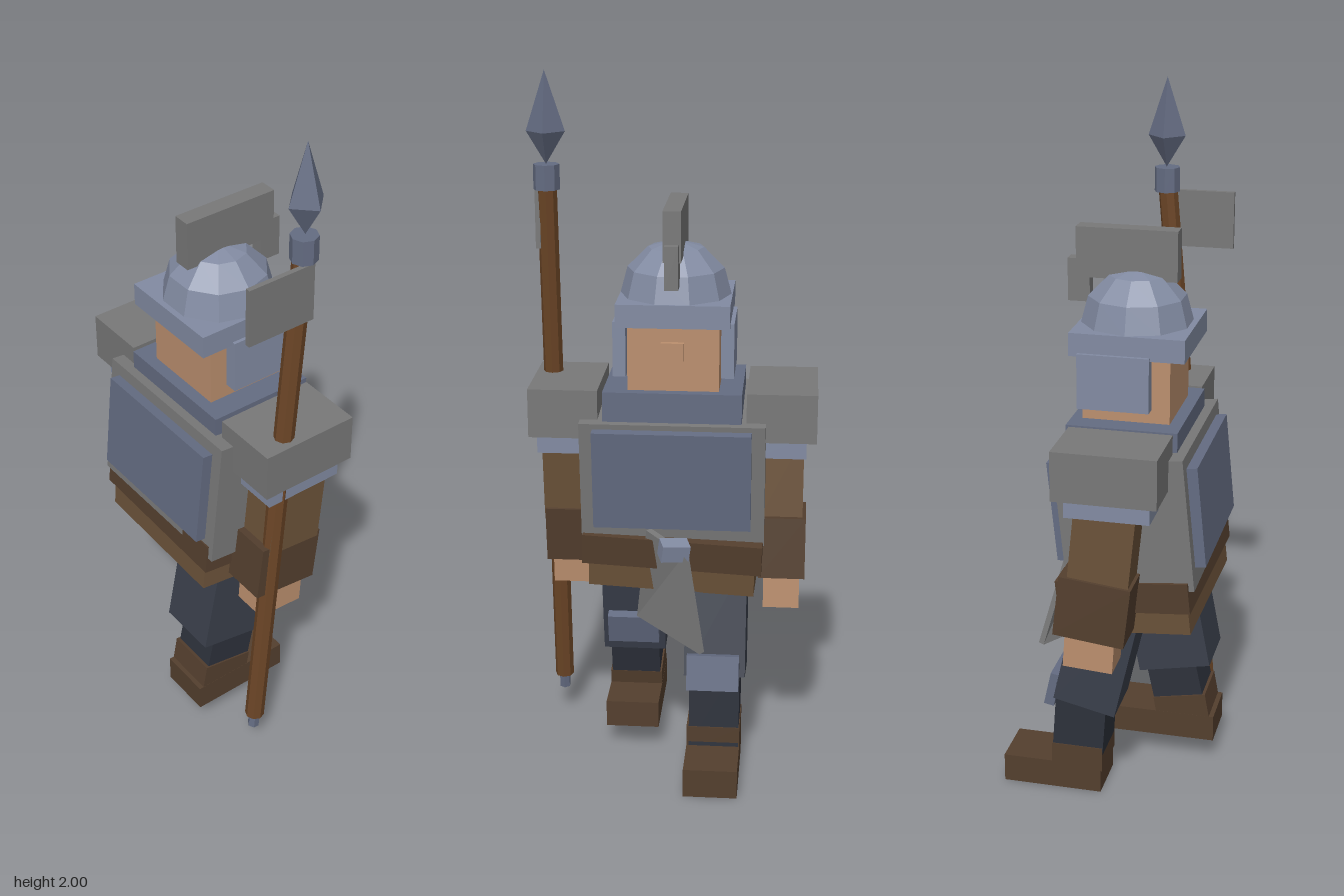
import * as THREE from 'three';

const STEEL = 0x828ba2, DARK_STEEL = 0x646c82, GREY = 0x787878, SKIN = 0xbb8f6e;
const BROWN = 0x6b5239, DARK_BROWN = 0x543f2e, CLOTH = 0x3a3f4b, DARK_CLOTH = 0x2d313b, WOOD = 0x6b4526;

const materials = new Map();
function mat(color) {
  if (!materials.has(color)) {
    materials.set(color, new THREE.MeshStandardMaterial({ color, flatShading: true }));
  }
  return materials.get(color);
}

function add(parent, name, geometry, color, x, y, z) {
  const mesh = new THREE.Mesh(geometry, mat(color));
  mesh.name = name;
  mesh.position.set(x, y, z);
  parent.add(mesh);
  return mesh;
}

// Box given by its lower and upper limits
function box(parent, name, color, [x0, x1], [y0, y1], [z0, z1]) {
  return add(parent, name, new THREE.BoxGeometry(x1 - x0, y1 - y0, z1 - z0), color,
    (x0 + x1) / 2, (y0 + y1) / 2, (z0 + z1) / 2);
}

// Box running between two [y, z] points, tilted about x
function limb(parent, name, color, x, width, depth, [y0, z0], [y1, z1]) {
  const length = Math.hypot(y1 - y0, z1 - z0);
  const mesh = add(parent, name, new THREE.BoxGeometry(width, length, depth), color, x, (y0 + y1) / 2, (z0 + z1) / 2);
  mesh.rotation.x = Math.atan2(z0 - z1, y0 - y1);
  return mesh;
}

function group(parent, name) {
  const g = new THREE.Group();
  g.name = name;
  parent.add(g);
  return g;
}

function buildHead(root) {
  const head = group(root, 'head');
  box(head, 'face', SKIN, [-0.135, 0.12], [1.12, 1.34], [-0.065, 0.18]);
  box(head, 'nose', SKIN, [-0.038, 0.026], [1.23, 1.28], [-0.082, -0.06]);
  box(head, 'helmetBand', STEEL, [-0.165, 0.15], [1.325, 1.39], [-0.095, 0.225]);
  for (const x of [-0.158, 0.142]) {
    box(head, 'cheekGuard', STEEL, [x - 0.018, x + 0.018], [1.18, 1.335], [-0.07, 0.13]);
  }
  const dome = new THREE.SphereGeometry(0.157, 10, 3, 0, Math.PI * 2, 0, Math.PI / 2);
  add(head, 'helmetDome', dome, STEEL, -0.006, 1.385, 0.06);
  box(head, 'crest', GREY, [-0.032, 0.018], [1.51, 1.65], [-0.107, 0.176]);
  box(head, 'crestDrop', GREY, [-0.026, 0.012], [1.44, 1.56], [-0.132, -0.07]);
}

function buildTorso(root) {
  box(root, 'collar', DARK_STEEL, [-0.2, 0.188], [1.0, 1.14], [-0.095, 0.215]);

  // Leaning cuirass with raised plates front and back
  const torso = group(root, 'torso');
  torso.position.set(-0.007, 0.882, 0.083);
  torso.rotation.x = -0.1;
  box(torso, 'cuirass', GREY, [-0.26, 0.26], [-0.19, 0.19], [-0.18, 0.18]);
  box(torso, 'backPlate', DARK_STEEL, [-0.222, 0.222], [-0.133, 0.155], [0.17, 0.21]);
  box(torso, 'chestPlate', DARK_STEEL, [-0.222, 0.222], [-0.115, 0.175], [-0.21, -0.17]);

  // Belt and skirt, twisted slightly with the stride
  const waist = group(root, 'waist');
  waist.position.set(-0.012, 0.66, 0.09);
  waist.rotation.set(-0.1, -0.04, 0.03);
  box(waist, 'belt', DARK_BROWN, [-0.257, 0.257], [-0.025, 0.065], [-0.19, 0.19]);
  box(waist, 'skirt', BROWN, [-0.238, 0.238], [-0.098, 0.05], [-0.18, 0.18]);

  // Hanging front cloth: thin slab between four swung corners
  const corners = [[-0.05, 0.68, -0.135], [0.06, 0.735, -0.09], [0.095, 0.44, -0.025], [-0.1, 0.41, -0.205]];
  const geometry = new THREE.BoxGeometry(1, 1, 1).toNonIndexed();
  const p = geometry.attributes.position;
  for (let i = 0; i < p.count; i++) {
    const right = p.getX(i) > 0, top = p.getY(i) > 0;
    const [x, y, z] = corners[top ? (right ? 1 : 0) : (right ? 2 : 3)];
    p.setXYZ(i, x - p.getZ(i) * 0.012, y, z + p.getZ(i) * 0.018);
  }
  geometry.computeVertexNormals();
  add(root, 'frontCloth', geometry, GREY, 0, 0, 0);
  const buckle = add(root, 'buckle', new THREE.BoxGeometry(0.08, 0.05, 0.05), STEEL, -0.015, 0.69, -0.13);
  buckle.rotation.set(-0.2, 0.3, 0.15);
}

function buildArm(root, side) {
  // Arms swing in opposite directions around the shoulder plane
  const arm = group(root, side > 0 ? 'leftArm' : 'rightArm');
  const shift = -0.005;
  const z = (offset) => 0.06 + side * offset;
  const px = shift + side * 0.306;
  box(arm, 'shoulderPad', GREY, [px - 0.098, px + 0.098], [1.0, 1.14], [-0.083, 0.205]);
  box(arm, 'shoulderGuard', STEEL, [px - 0.07, px + 0.078], [0.945, 1.01], [-0.055, 0.18]);
  const x = side > 0 ? 0.308 : -0.312;
  const drop = side > 0 ? 0 : -0.02;
  limb(arm, 'upperArm', BROWN, x, 0.125, 0.17, [1.0, z(0)], [0.75, z(0.025)]);
  limb(arm, 'forearm', DARK_BROWN, x - 0.006, 0.132, 0.2, [0.77 + drop / 2, z(0.03)], [0.605 + drop, z(0.05)]);
  limb(arm, 'hand', SKIN, x - 0.006, 0.103, 0.14, [0.63 + drop, z(0.047)], [0.515 + drop * 1.2, z(0.055)]);
}

function buildLegs(root) {
  // Stepping leg, stretched toward the toes
  const a = group(root, 'steppingLeg');
  limb(a, 'thigh', CLOTH, -0.132, 0.176, 0.185, [0.62, 0.03], [0.283, -0.046]);
  limb(a, 'shin', DARK_CLOTH, -0.132, 0.145, 0.15, [0.34, -0.055], [0.08, -0.073]);
  limb(a, 'kneeGuard', DARK_STEEL, -0.128, 0.15, 0.03, [0.37, -0.133], [0.27, -0.155]);
  box(a, 'bootAnkle', DARK_BROWN, [-0.207, -0.053], [0.07, 0.145], [-0.147, 0.005]);
  box(a, 'bootFoot', DARK_BROWN, [-0.207, -0.053], [0, 0.085], [-0.293, 0]);

  // Trailing leg, lifted
  const b = group(root, 'trailingLeg');
  limb(b, 'thigh', CLOTH, 0.117, 0.184, 0.215, [0.62, 0.11], [0.31, 0.17]);
  limb(b, 'shin', DARK_CLOTH, 0.118, 0.145, 0.15, [0.36, 0.145], [0.14, 0.192]);
  limb(b, 'kneeGuard', DARK_STEEL, 0.117, 0.15, 0.03, [0.42, 0.02], [0.33, 0.044]);
  limb(b, 'bootAnkle', DARK_BROWN, 0.118, 0.155, 0.16, [0.208, 0.182], [0.11, 0.2]);
  box(b, 'bootFoot', DARK_BROWN, [0.04, 0.196], [0.07, 0.15], [-0.018, 0.288]);
}

function buildSpear(root) {
  const spear = group(root, 'spear');
  const x = 0.353;
  const pole = (name, color, r, sides, [y0, z0], [y1, z1]) => {
    const length = Math.hypot(y1 - y0, z1 - z0);
    const mesh = add(spear, name, new THREE.CylinderGeometry(r, r, length, sides), color, x, (y0 + y1) / 2, (z0 + z1) / 2);
    mesh.rotation.x = Math.atan2(z0 - z1, y0 - y1);
  };
  pole('shaft', WOOD, 0.028, 8, [1.69, 0.066], [0.13, 0.203]);
  pole('ferrule', DARK_STEEL, 0.017, 6, [0.14, 0.202], [0.085, 0.207]);
  pole('socket', DARK_STEEL, 0.037, 8, [1.745, 0.064], [1.675, 0.064]);

  // Four-sided blade
  const profile = [[0, 1.745], [0.054, 1.835], [0, 2]].map(([r, y]) => new THREE.Vector2(r, y));
  add(spear, 'blade', new THREE.LatheGeometry(profile, 4), DARK_STEEL, x, 0, 0.062);
  box(spear, 'pennant', GREY, [0.372, 0.386], [1.51, 1.675], [0.055, 0.257]);
}

export function createModel() {
  const root = new THREE.Group();
  root.name = 'spearSoldier';
  buildHead(root);
  buildTorso(root);
  for (const side of [-1, 1]) buildArm(root, side);
  buildLegs(root);
  buildSpear(root);
  return root;
}
